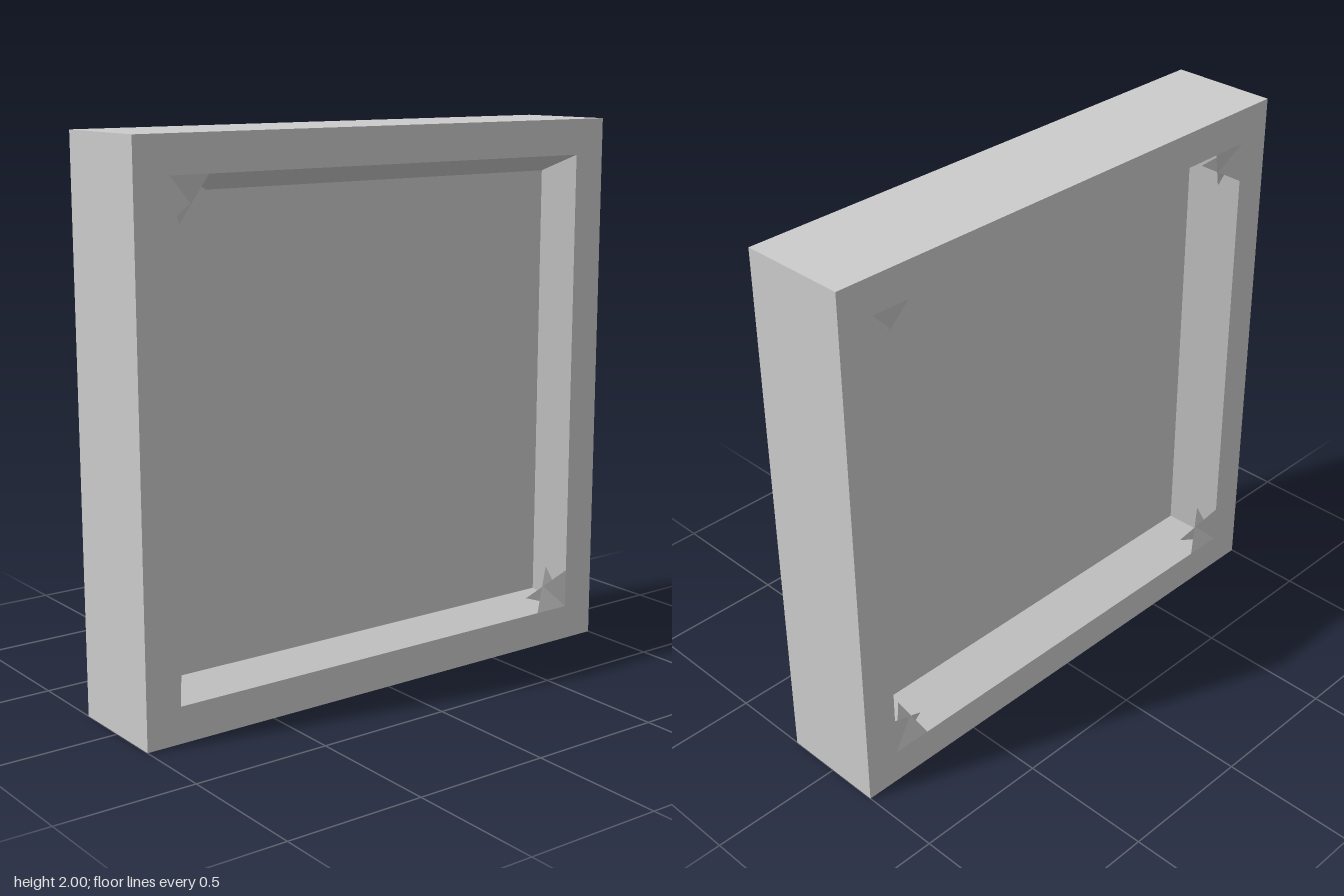
import * as THREE from 'three';

const material = new THREE.MeshStandardMaterial({ color: 0xcccccc, flatShading: true });
const HALF_DEPTH = 0.2;
const RIM = 0.87;
const CORNERS = [[1, 1], [-1, 1], [-1, -1], [1, -1]];

// Counter-clockwise rectangle
const rect = (w, h) => CORNERS.map(([sx, sy]) => new THREE.Vector2(sx * w, sy * h));

function fromTriangles(points) {
  const geometry = new THREE.BufferGeometry();
  geometry.setAttribute('position', new THREE.Float32BufferAttribute(points.flat(), 3));
  geometry.computeVertexNormals();
  return geometry;
}

// Band of flat quads between two loops at different depths
function band(loopA, zA, loopB, zB) {
  return fromTriangles(loopA.flatMap((p, i) => {
    const j = (i + 1) % loopA.length;
    const a = [p.x, p.y, zA], b = [loopA[j].x, loopA[j].y, zA];
    const c = [loopB[j].x, loopB[j].y, zB], d = [loopB[i].x, loopB[i].y, zB];
    return [a, b, c, a, c, d];
  }));
}

// Two crossing triangles that dip from the rim into the recess
function gusset([sx, sy]) {
  const at = (x, y, z) => [sx * x, sy * y, z];
  const corner = at(RIM, RIM, HALF_DEPTH);
  const onTop = at(0.725, RIM, HALF_DEPTH), onSide = at(RIM, 0.725, HALF_DEPTH);
  const lowSide = at(0.81, 0.71, 0.15), lowTop = at(0.71, 0.82, 0.15);
  const points = [corner, onTop, lowSide, corner, lowTop, onSide];
  return fromTriangles(sx * sy > 0 ? points : points.reverse());
}

function part(parent, name, geometry, z = 0) {
  const mesh = new THREE.Mesh(geometry, material);
  mesh.name = name;
  mesh.position.z = z;
  parent.add(mesh);
}

// One broad side: flat rim, sloping recess walls, sunken panel and corner gussets
function recessedSide(name, panelW, panelH, panelZ, gussetCorners) {
  const side = new THREE.Group();
  side.name = name;
  const rim = rect(RIM, RIM);
  const panel = rect(panelW, panelH);

  const rimShape = new THREE.Shape(rect(1, 1));
  rimShape.holes.push(new THREE.Path(rim));
  part(side, 'rim', new THREE.ShapeGeometry(rimShape), HALF_DEPTH);
  part(side, 'recessWalls', band(rim, HALF_DEPTH, panel, panelZ));
  part(side, 'panel', new THREE.ShapeGeometry(new THREE.Shape(panel)), panelZ);
  for (const corner of gussetCorners) part(side, 'cornerGusset', gusset(corner));
  return side;
}

export function createModel() {
  const model = new THREE.Group();
  model.name = 'recessedBlock';

  // Shallow recess on the left, deeper one on the right
  const left = recessedSide('leftSide', 0.8, 0.81, 0.09, [CORNERS[1], CORNERS[3]]);
  left.rotation.y = Math.PI / 2;
  const right = recessedSide('rightSide', 0.78, 0.79, 0.04, CORNERS);
  right.rotation.y = -Math.PI / 2;

  // Outer edge of the block
  const edge = new THREE.Group();
  edge.name = 'outerEdge';
  edge.rotation.y = Math.PI / 2;
  part(edge, 'edgeBand', band(rect(1, 1), -HALF_DEPTH, rect(1, 1), HALF_DEPTH));

  for (const group of [left, right, edge]) {
    group.position.y = 1;
    model.add(group);
  }
  return model;
}
